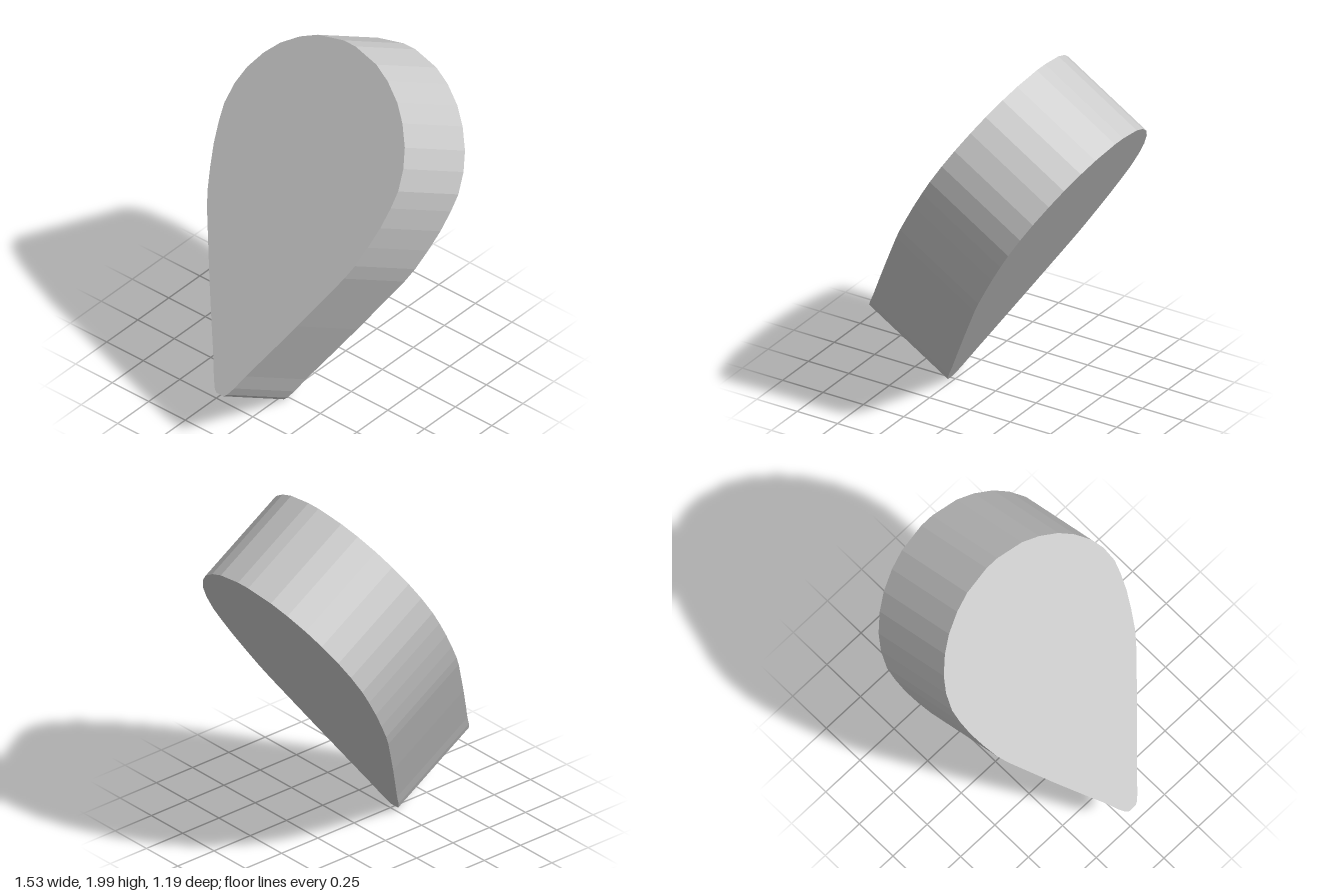
import * as THREE from 'three';

export function createModel() {
  const group = new THREE.Group();
  const length = 1.991, depth = 0.57;

  // half outline of the teardrop: [half width, fraction of the length from the tip]
  const half = [
    [0.025, 0], [0.042, 0.008], [0.07, 0.032], [0.11, 0.075], [0.2, 0.161],
    [0.3, 0.258], [0.4, 0.359], [0.47, 0.43], [0.505, 0.473], [0.54, 0.533],
    [0.57, 0.595], [0.588, 0.655], [0.595, 0.705], [0.577, 0.765], [0.54, 0.818],
    [0.475, 0.873], [0.4, 0.917], [0.3, 0.956], [0.2, 0.982], [0.04, 1],
  ];
  const right = half.map(([w, t]) => new THREE.Vector2(w, (t - 0.5) * length));
  const left = right.map((p) => new THREE.Vector2(-p.x, p.y)).reverse();

  // straight-sided slab, centred on its own middle
  const geometry = new THREE.ExtrudeGeometry(new THREE.Shape([...right, ...left]), {
    depth, bevelEnabled: false,
  });
  geometry.translate(0, 0, -depth / 2);

  const slab = new THREE.Mesh(
    geometry,
    new THREE.MeshStandardMaterial({ color: 0xcccccc, flatShading: true }),
  );
  slab.name = 'teardropSlab';

  // turn the broad face to the side, then lean the slab towards +x
  slab.rotation.set(0, Math.PI / 2, -Math.atan2(1.045, 1.695), 'ZYX');
  slab.position.y = 1;
  group.add(slab);
  return group;
}
